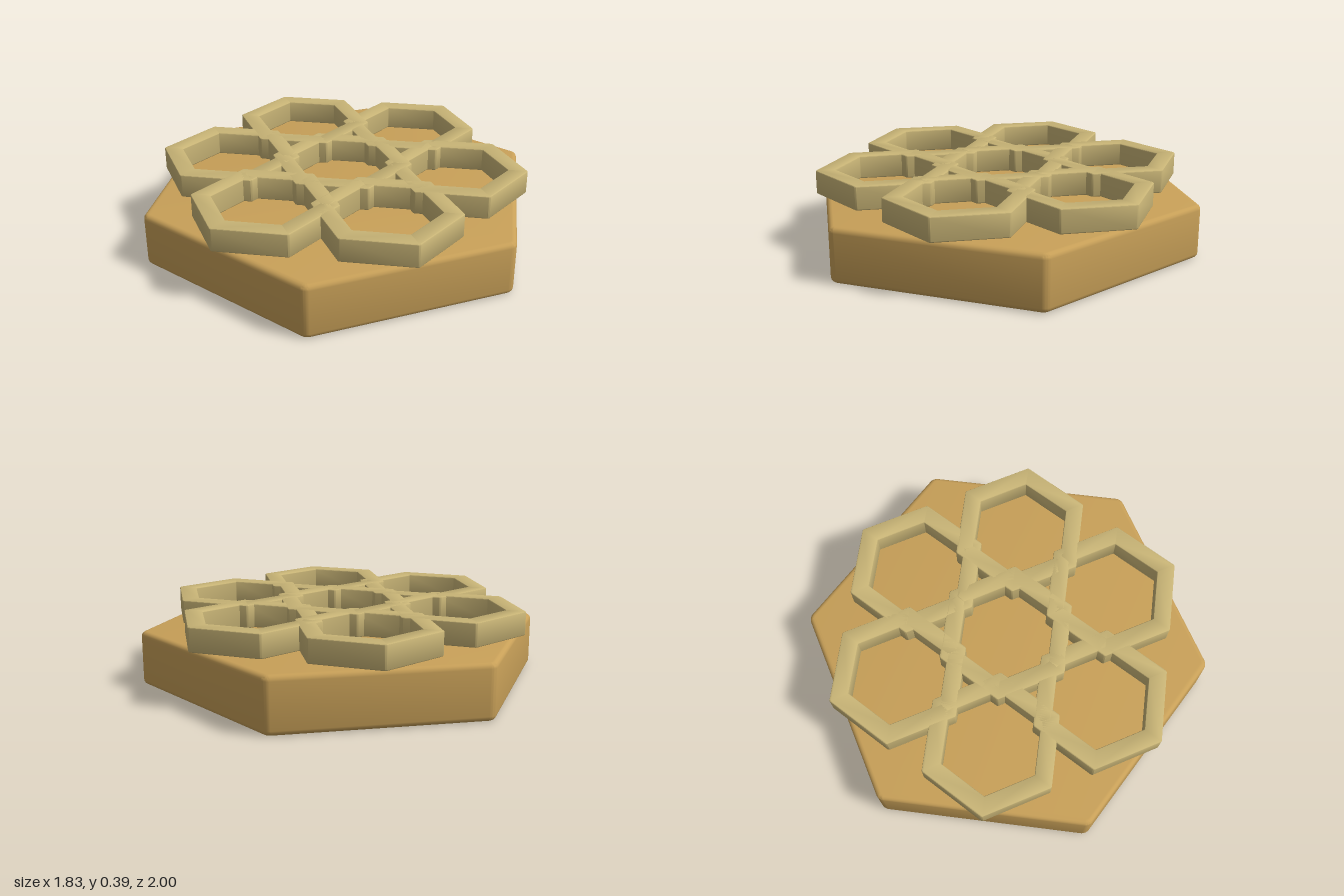
import * as THREE from 'three';
import { toCreasedNormals } from 'three/addons/utils/BufferGeometryUtils.js';

const COS30 = Math.cos(Math.PI / 6);

// Hexagon outline with the given apothem, corner rounding and first corner angle
function hexagon(Path, apothem, round, start) {
  const path = new Path();
  const r = (apothem - round) / COS30;
  for (let i = 0; i < 6; i++) {
    const a = start + (i * Math.PI) / 3;
    path.absarc(r * Math.cos(a), r * Math.sin(a), round, a - Math.PI / 6, a + Math.PI / 6, false);
  }
  path.closePath();
  return path;
}

// Extrude a plan shape upward with soft edges, its underside at y = bottom
function slab(shape, bottom, height, bevel) {
  const geometry = new THREE.ExtrudeGeometry(shape, {
    depth: height - 2 * bevel,
    bevelEnabled: true,
    bevelSize: bevel,
    bevelThickness: bevel,
    bevelSegments: 4,
    curveSegments: 4,
  });
  geometry.rotateX(-Math.PI / 2);
  geometry.translate(0, bottom + bevel, 0);
  return toCreasedNormals(geometry, 0.6);
}

export function createModel() {
  const model = new THREE.Group();
  model.name = 'honeycombTile';

  const baseColor = new THREE.MeshStandardMaterial({ color: 0xc8a058 });
  baseColor.name = 'warmHoney';
  const ringColor = new THREE.MeshStandardMaterial({ color: 0xc8b476 });
  ringColor.name = 'paleWax';

  // Thick hexagonal base with points toward the front and back
  const baseBevel = 0.025;
  const baseShape = hexagon(THREE.Shape, 0.872 - baseBevel, 0.02, Math.PI / 6);
  const base = new THREE.Mesh(slab(baseShape, 0, 0.267, baseBevel), baseColor);
  base.name = 'base';
  model.add(base);

  // Overlapping honeycomb cells: one in the centre and six around it
  const ringBevel = 0.006;
  const ringShape = hexagon(THREE.Shape, 0.305 - ringBevel, 0.008, 0);
  ringShape.holes.push(hexagon(THREE.Path, 0.22 + ringBevel, 0.008, 0));
  const ringGeometry = slab(ringShape, 0.272, 0.117, ringBevel);

  const cells = new THREE.Group();
  cells.name = 'honeycomb';
  const spacing = 0.565;
  for (let i = 0; i < 7; i++) {
    const ring = new THREE.Mesh(ringGeometry, ringColor);
    ring.name = i === 0 ? 'centreCell' : 'outerCell' + i;
    if (i > 0) {
      const a = (i * Math.PI) / 3;
      ring.position.set(spacing * Math.cos(a), 0, spacing * Math.sin(a));
    }
    cells.add(ring);
  }
  model.add(cells);

  return model;
}
